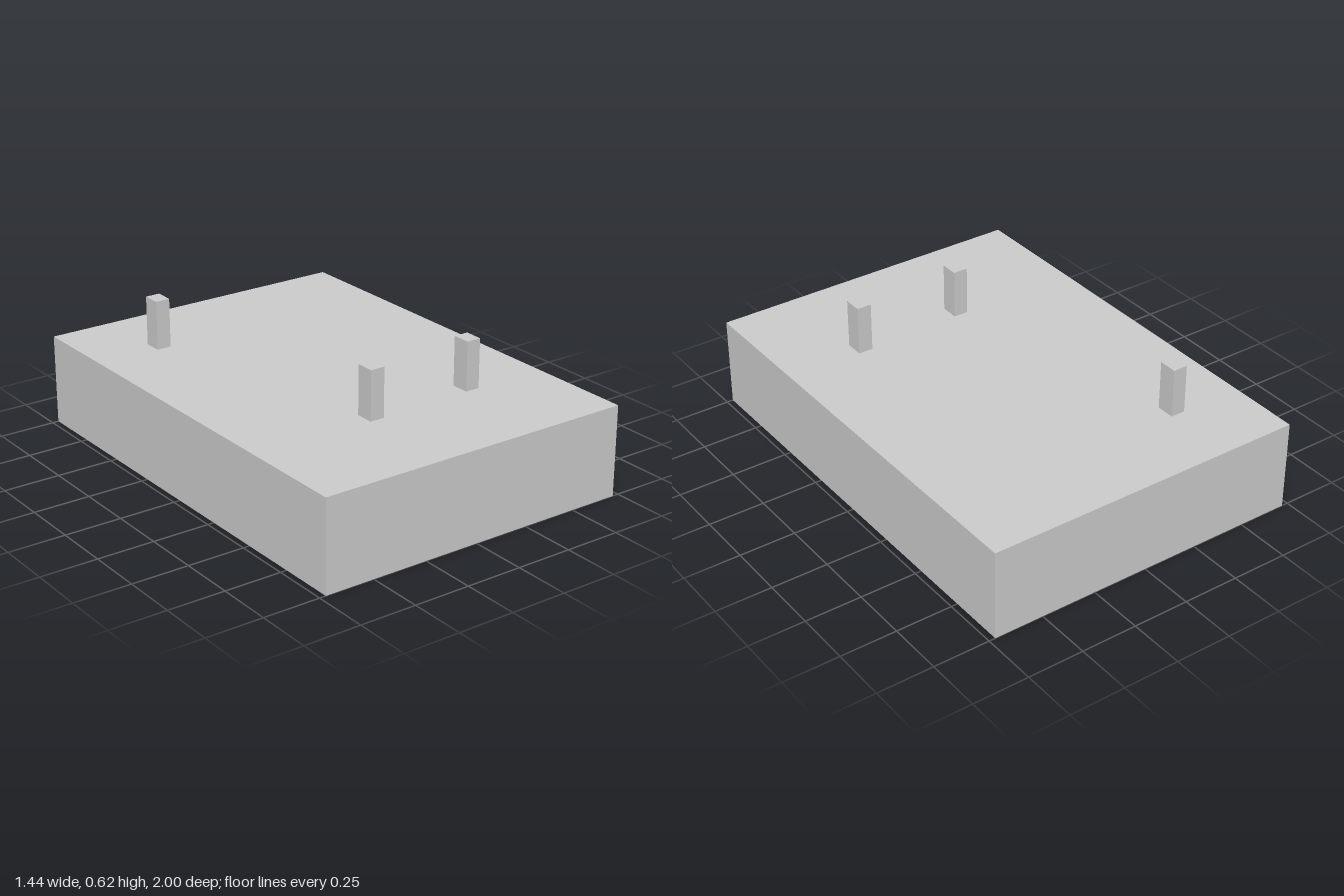
import * as THREE from 'three';

const BASE = { width: 1.444, height: 0.4, depth: 2 };
const PEG = { width: 0.065, height: 0.217, depth: 0.081 };

export function createModel() {
  const model = new THREE.Group();
  const material = new THREE.MeshStandardMaterial({ color: 0xcccccc, flatShading: true });

  // Box standing on height y
  const addBlock = (name, size, x, y, z) => {
    const mesh = new THREE.Mesh(new THREE.BoxGeometry(size.width, size.height, size.depth), material);
    mesh.name = name;
    mesh.position.set(x, y + size.height / 2, z);
    model.add(mesh);
  };

  // Solid slab
  addBlock('base', BASE, 0, 0, 0);

  // Three upright pegs on the slab
  const pegs = [
    ['backRightPeg', -0.408, -0.641],
    ['frontRightPeg', -0.143, 0.509],
    ['frontLeftPeg', 0.356, 0.493],
  ];
  for (const [name, x, z] of pegs) addBlock(name, PEG, x, BASE.height, z);

  return model;
}
